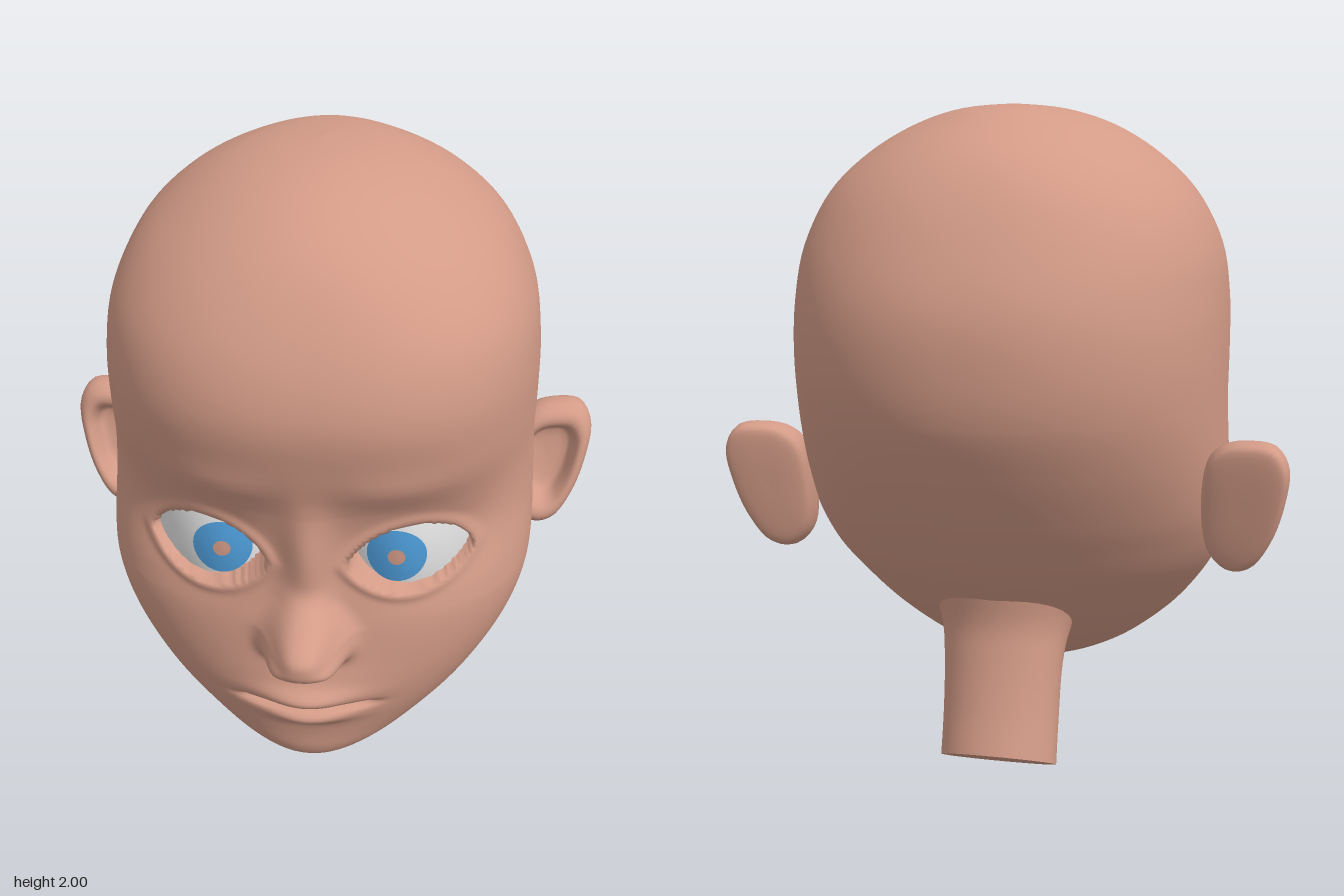
import * as THREE from 'three';

const skin = new THREE.MeshStandardMaterial({ color: 0xd39b87 });
skin.name = 'skin';
const white = new THREE.MeshStandardMaterial({ color: 0xe6e6e6 });
white.name = 'eyeWhite';
const blue = new THREE.MeshStandardMaterial({ color: 0x4f9edb });
blue.name = 'irisBlue';

const { smoothstep, lerp, clamp } = THREE.MathUtils;
const V = (x, y, z) => new THREE.Vector3(x, y, z);

// Smooth closed skin over a list of equally long point rings
function loft(name, material, rings) {
  const n = rings[0].length, pos = [], index = [];
  rings.forEach((ring) => ring.forEach((p) => pos.push(p.x, p.y, p.z)));
  for (let i = 0; i < rings.length - 1; i++) {
    for (let j = 0; j < n; j++) {
      const a = i * n + j, b = i * n + (j + 1) % n;
      index.push(a, b, a + n, b, b + n, a + n);
    }
  }
  const geometry = new THREE.BufferGeometry();
  geometry.setAttribute('position', new THREE.Float32BufferAttribute(pos, 3));
  geometry.setIndex(index);
  geometry.computeVertexNormals();
  const mesh = new THREE.Mesh(geometry, material);
  mesh.name = name;
  return mesh;
}

// Mirror rings to the other side, keeping faces outward
const mirrored = (rings, side) => side > 0 ? rings
  : rings.map((ring) => ring.map((p) => V(-p.x, p.y, p.z)).reverse());

const circle = (n, fn) => Array.from({ length: n }, (_, j) => fn(j / n * Math.PI * 2));

// Catmull-Rom through rows of numbers
function sampleRows(rows, i, f) {
  const at = (k) => rows[clamp(k, 0, rows.length - 1)];
  const [a, b, c, d] = [at(i - 1), at(i), at(i + 1), at(i + 2)];
  return b.map((_, k) => b[k] + 0.5 * f * (c[k] - a[k]
    + f * (2 * a[k] - 5 * b[k] + 4 * c[k] - d[k] + f * (3 * (b[k] - c[k]) + d[k] - a[k]))));
}

// ---- Eyes: almond outline and gently curved surface ----
const EYE = { x: 0.286, y: 0.972, w: 0.16, up: 0.098, down: 0.087 };
const eyeZ = (x, y) => 0.49 - 3.4 * (x - 0.25) ** 2 - (y - 0.975) ** 2;
const eyeLevel = (x, y) => {
  const dy = y - EYE.y;
  return Math.abs((x - EYE.x) / EYE.w) ** 2 + Math.abs(dy / (dy > 0 ? EYE.up : EYE.down)) ** 1.4;
};

// ---- Face relief, symmetric in x ----
const bump = (x, y, cx, cy, sx, sy, h) => h * Math.exp(-(((x - cx) / sx) ** 2) - ((y - cy) / sy) ** 2);
function faceZ(xs, y, base) {
  const x = Math.abs(xs), dy = y - 0.765;
  let z = base;
  z += bump(x, y, 0, 1.0, 0.065, 0.17, 0.05);                       // nose bridge
  const noseWidth = 0.1 - 0.35 * clamp(dy, 0, 0.1);
  const noseRise = dy > 0 ? Math.exp(-((dy / 0.085) ** 2.5)) : Math.exp(-((dy / 0.085) ** 4));
  z += 0.195 * noseRise * Math.exp(-((x / noseWidth) ** 3));         // nose tip
  z += bump(x, y, 0.09, 0.72, 0.035, 0.035, 0.05);                  // nostril wing
  z += bump(x, y, 0.05, 0.672, 0.024, 0.02, -0.06);                 // nostril
  z += bump(x, y, 0, 0.54, 0.17, 0.1, 0.03);                        // muzzle
  z += bump(x, y, 0, 0.535, 0.13, 0.03, 0.035);                     // upper lip
  z += bump(x, y, 0, 0.45, 0.12, 0.026, 0.03);                      // lower lip
  z -= 0.065 * Math.exp(-((x / 0.175) ** 4) - ((y - 0.492) / 0.012) ** 2); // mouth line
  z += bump(x, y, 0.36, 1.02, 0.2, 0.13, -0.05);                    // eye socket
  z += bump(x, y, 0.25, 1.23, 0.16, 0.05, 0.014);                   // brow
  const level = eyeLevel(x, y);
  if (level < 2.5) {                                                // eyelids
    const ball = eyeZ(x, y);
    const lid = Math.max(z + 0.012 * Math.exp(-(((level - 1.35) / 0.3) ** 2)), ball + 0.01);
    z = lerp(ball - 0.03, lid, smoothstep(level, 1, 1.15));
  }
  return z;
}

// Head: rows of height, front z, back z, half width, back roundness
const HEAD = [
  [0.23, 0.33, 0.33, 0, 2], [0.232, 0.45, 0.2, 0.1, 2], [0.25, 0.515, 0.13, 0.17, 2],
  [0.29, 0.54, 0.03, 0.26, 1.9], [0.35, 0.55, -0.08, 0.35, 1.8], [0.45, 0.565, -0.22, 0.46, 1.7],
  [0.55, 0.575, -0.34, 0.54, 1.65], [0.65, 0.575, -0.44, 0.6, 1.7], [0.75, 0.57, -0.52, 0.635, 1.75],
  [0.85, 0.56, -0.59, 0.645, 1.85], [1.0, 0.55, -0.68, 0.64, 2], [1.15, 0.57, -0.75, 0.635, 2.1],
  [1.3, 0.62, -0.775, 0.635, 2.2], [1.45, 0.645, -0.77, 0.63, 2.2], [1.6, 0.61, -0.72, 0.605, 2.2],
  [1.75, 0.525, -0.64, 0.53, 2.2], [1.86, 0.42, -0.54, 0.42, 2.1], [1.94, 0.28, -0.4, 0.29, 2],
  [1.985, 0.12, -0.27, 0.15, 2], [2, -0.08, -0.08, 0, 2],
];
function headRing([y, front, back, width, roundness]) {
  const ring = [], mid = (front + back) / 2, FRONT = 132, BACK = 48;
  const pow = (v, n) => Math.sign(v) * Math.abs(v) ** (2 / n);
  const frontRound = clamp(2 + (y - 0.3) * 0.8, 2, 2.4) - 0.4 * smoothstep(y, 1.6, 1.95);
  for (let j = 0; j < FRONT; j++) {
    const s = j / FRONT * 2 - 1, a = Math.PI / 2 * s * (0.6 + 0.4 * s * s);
    const x = width * pow(Math.sin(a), frontRound);
    const z = mid + (front - mid) * pow(Math.max(Math.cos(a), 0), frontRound);
    ring.push(V(x, y, lerp(z, faceZ(x, y, z), smoothstep(Math.cos(a), 0.05, 0.4))));
  }
  for (let j = 0; j < BACK; j++) {
    const a = j / BACK * Math.PI;
    ring.push(V(width * pow(Math.cos(a), roundness), y,
      mid + (back - mid) * pow(Math.max(Math.sin(a), 0), roundness)));
  }
  return ring;
}
function makeHead() {
  const rings = [];
  for (let i = 0; i < HEAD.length - 1; i++) {
    const steps = i >= 4 && i <= 10 ? 13 : 5;
    for (let k = 0; k < steps; k++) rings.push(headRing(sampleRows(HEAD, i, k / steps)));
  }
  rings.push(headRing(HEAD[HEAD.length - 1]));
  return loft('head', skin, rings);
}

// Neck: rows of centre y, centre z, radius x, radius z, slope of the cut
const NECK = [
  [0.065, -0.305, 0.175, 0.135, -0.48], [0.2, -0.27, 0.175, 0.135, -0.4],
  [0.36, -0.235, 0.18, 0.14, -0.3], [0.47, -0.19, 0.2, 0.175, -0.3], [0.62, -0.14, 0.26, 0.26, -0.3],
];
function makeNeck() {
  const ringOf = ([cy, cz, rx, rz, slope], r = 1) => circle(40, (a) =>
    V(-Math.cos(a) * rx * r, cy + Math.sin(a) * rz * r * slope, cz + Math.sin(a) * rz * r));
  const rings = [];
  for (let i = 0; i < NECK.length - 1; i++) {
    for (let k = 0; k < 5; k++) rings.push(ringOf(sampleRows(NECK, i, k / 5)));
  }
  rings.push(ringOf(NECK[NECK.length - 1]));
  const group = new THREE.Group();
  group.name = 'neck';
  group.add(loft('neckColumn', skin, rings),
    loft('neckBase', skin, [ringOf(NECK[0], 0), ringOf(NECK[0])]));
  return group;
}

// Ear: outline scaled through a profile that runs from the back to the hollow front
const EAR = [[0.6, 0.74], [0.66, 0.675], [0.725, 0.685], [0.785, 0.77], [0.825, 0.9],
  [0.832, 1.0], [0.795, 1.06], [0.72, 1.07], [0.65, 1.055], [0.6, 1.0]];
const EAR_PROFILE = [[0, -0.06], [0.4, -0.06], [0.8, -0.055], [0.95, -0.04], [1, 0], [0.97, 0.035],
  [0.85, 0.06], [0.7, 0.058], [0.58, 0.03], [0.45, -0.005], [0, -0.012]];
function makeEar(name, side) {
  const curve = new THREE.CatmullRomCurve3(EAR.map(([x, y]) => V(x, y, 0)), true);
  const outline = curve.getSpacedPoints(48).slice(0, 48);
  const rings = [];
  for (let i = 0; i < EAR_PROFILE.length - 1; i++) {
    for (let k = 0; k < 3; k++) rings.push(sampleRows(EAR_PROFILE, i, k / 3));
  }
  rings.push(EAR_PROFILE[EAR_PROFILE.length - 1]);
  return loft(name, skin, mirrored(rings.map(([r, depth]) => outline.map((p) => {
    const x = lerp(0.7, p.x, r), y = lerp(0.88, p.y, r);
    return V(x, y, -0.25 - 0.15 * (x - 0.62) - 0.2 * (y - 0.88) + depth);
  })), side));
}

// Eye: almond white with a thin ring iris and a small pupil disc
function makeEye(name, side) {
  const group = new THREE.Group();
  group.name = name;
  const almond = [1.1, 0.9, 0.7, 0.5, 0.3, 0.15, 0].map((r) => circle(48, (a) => {
    const c = Math.cos(a), s = Math.sin(a);
    const x = EYE.x + EYE.w * r * c;
    const y = EYE.y + (s > 0 ? EYE.up : EYE.down) * r * Math.sign(s) * Math.abs(s) ** (2 / 1.4);
    return V(x, y, eyeZ(x, y));
  }));
  const disc = (radii) => radii.map((r) => circle(40, (a) => {
    const x = 0.247 + r * Math.cos(a), y = 0.975 + r * Math.sin(a);
    return V(x, y, eyeZ(x, y) + 0.005);
  }));
  group.add(loft('eyeWhite', white, mirrored(almond, side)),
    loft('iris', blue, mirrored(disc([0.085, 0.065, 0.045, 0.025]), side)),
    loft('pupil', skin, mirrored(disc([0.025, 0.012, 0]), side)));
  return group;
}

export function createModel() {
  const model = new THREE.Group();
  model.name = 'mannequinHead';
  model.add(makeHead(), makeNeck(),
    makeEar('leftEar', 1), makeEar('rightEar', -1),
    makeEye('leftEye', 1), makeEye('rightEye', -1));
  return model;
}
